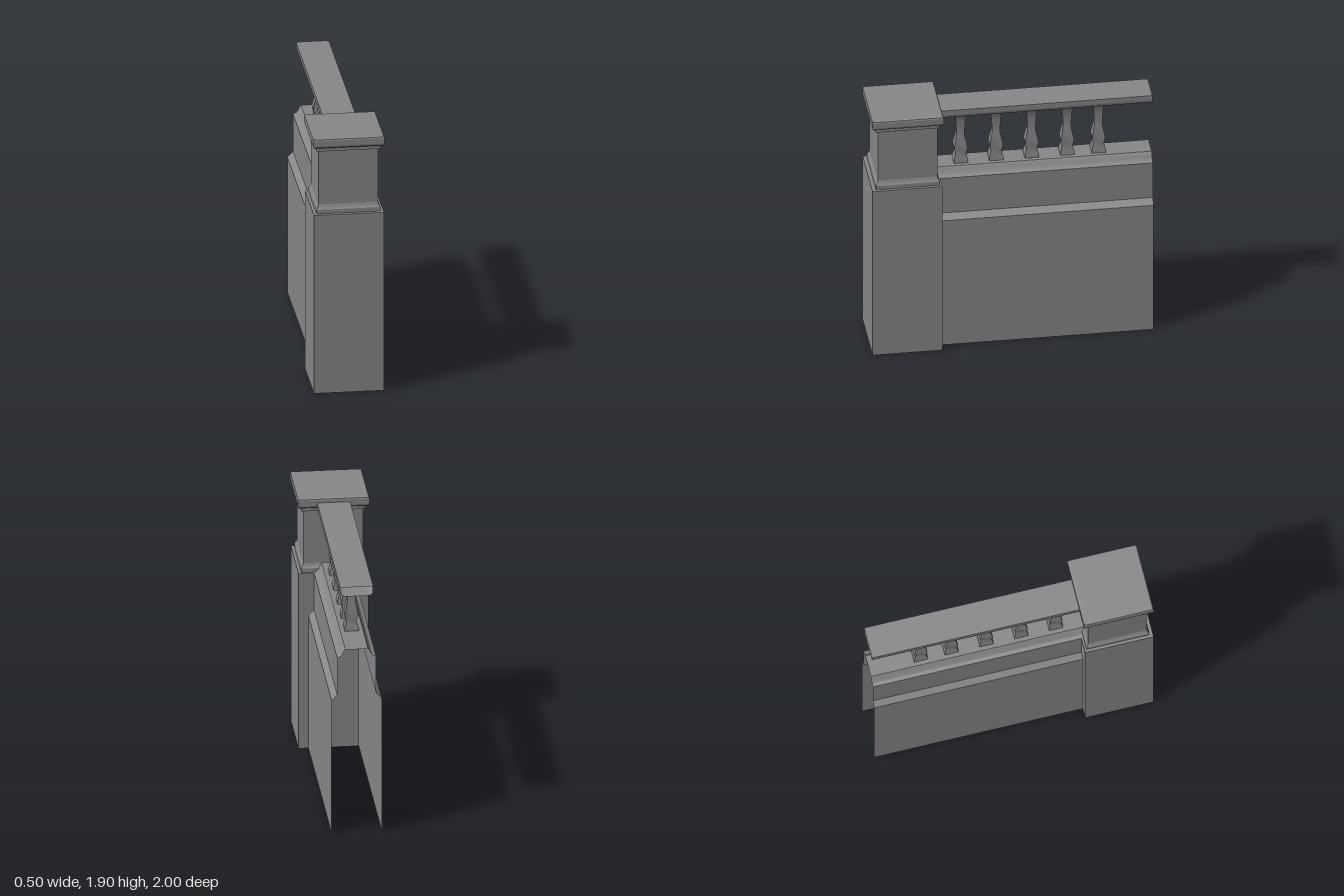
import * as THREE from 'three';
import { toCreasedNormals } from 'three/addons/utils/BufferGeometryUtils.js';

const material = new THREE.MeshStandardMaterial({ color: 0x888888, side: THREE.DoubleSide });

// Edges bending more than the crease angle stay sharp
function creasedMesh(name, geometry, crease) {
  const mesh = new THREE.Mesh(toCreasedNormals(geometry, crease), material);
  mesh.name = name;
  return mesh;
}

// Square-section form from [half width, y] pairs, bottom to top
function squareStack(name, profile, z, crease = 0.1) {
  const points = profile.map(([half, y]) => new THREE.Vector2(half * Math.SQRT2, y));
  const mesh = creasedMesh(name, new THREE.LatheGeometry(points, 4, Math.PI / 4), crease);
  mesh.position.z = z;
  return mesh;
}

// Open-ended shell: an [x, y] profile running from +x over the top to -x, swept along z
function sweptShell(name, profile, zFront, crease = 0.1) {
  const geometry = new THREE.PlaneGeometry(1, 1, profile.length - 1, 1);
  const pos = geometry.attributes.position;
  for (let i = 0; i < pos.count; i++) {
    const [x, y] = profile[i % profile.length];
    pos.setXYZ(i, x, y, i < profile.length ? zFront : -1);
  }
  return creasedMesh(name, geometry, crease);
}

// The -x counterpart of a +x profile, in reverse order
const mirror = (half) => half.map(([x, y]) => [-x, y]).reverse();

export function createModel() {
  const model = new THREE.Group();
  model.name = 'balustradeWithPier';

  // Pier: plinth, shaft with base moulding, and cap
  const pier = new THREE.Group();
  pier.name = 'pier';
  pier.add(
    squareStack('pierPlinth', [[0, 0], [0.247, 0], [0.247, 1.335], [0, 1.335]], 0.752),
    squareStack('pierShaft', [
      [0.226, 1.335], [0.226, 1.365], [0.217, 1.38], [0.21, 1.4],
      [0.21, 1.802], [0.225, 1.802], [0.225, 1.83], [0, 1.83],
    ], 0.746),
    squareStack('pierCap', [
      [0, 1.83], [0.238, 1.83], [0.248, 1.837], [0.252, 1.85],
      [0.252, 1.89], [0.249, 1.899], [0.24, 1.905], [0, 1.905],
    ], 0.748),
  );
  model.add(pier);

  // Hollow wall: two thin sides with a sloped offset, and a coved coping
  const wallSide = [[0.177, 0], [0.177, 1.013], [0.137, 1.053], [0.137, 1.335]];
  const cove = [[0.137, 1.335], [0.113, 1.345], [0.1, 1.362], [0.09, 1.385], [0.08, 1.397]];
  model.add(
    sweptShell('leftWallSide', wallSide, 0.506),
    sweptShell('rightWallSide', mirror(wallSide), 0.506),
    sweptShell('coping', [...cove, ...mirror(cove)], 0.54, 0.5),
  );

  // Handrail with rounded lower edges
  const railHalf = [
    [0.08, 1.803], [0.1, 1.808], [0.112, 1.82], [0.116, 1.835], [0.116, 1.872],
  ];
  model.add(sweptShell('handrail', [...railHalf, ...mirror(railHalf), railHalf[0]], 0.55));

  // Balusters
  const balusters = new THREE.Group();
  balusters.name = 'balusters';
  for (const z of [0.345, 0.094, -0.157, -0.409, -0.63]) {
    balusters.add(squareStack('baluster', [
      [0.05, 1.39], [0.049, 1.42], [0.037, 1.465], [0.047, 1.52],
      [0.027, 1.62], [0.032, 1.72], [0.038, 1.765], [0.05, 1.785], [0.05, 1.805],
    ], z, 0.5));
  }
  model.add(balusters);

  return model;
}
